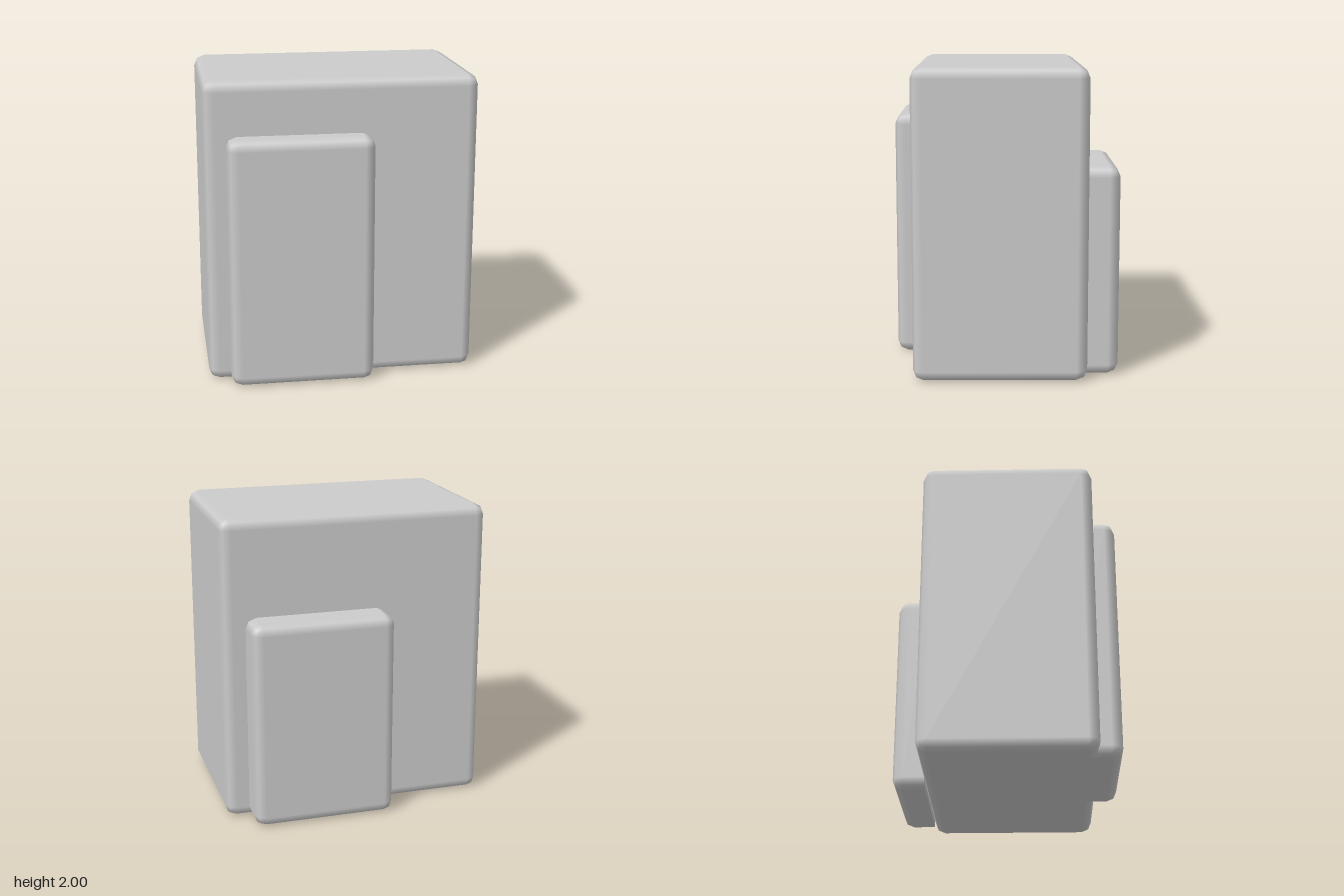
import * as THREE from 'three';
import { RoundedBoxGeometry } from 'three/addons/geometries/RoundedBoxGeometry.js';

const BEVEL = 0.07;

// Box with two-step bevelled edges, given by its lower and upper corners
function bevelledBox(name, [x0, y0, z0], [x1, y1, z1], material) {
  const geometry = new RoundedBoxGeometry(x1 - x0, y1 - y0, z1 - z0, 1, BEVEL);
  geometry.translate((x0 + x1) / 2, (y0 + y1) / 2, (z0 + z1) / 2);
  const mesh = new THREE.Mesh(geometry, material);
  mesh.name = name;
  return mesh;
}

export function createModel() {
  const group = new THREE.Group();
  group.name = 'steppedBlock';
  const material = new THREE.MeshStandardMaterial({ color: 0xcccccc });

  // Large central block
  group.add(bevelledBox('mainBlock', [-0.885, 0, -0.525], [0.885, 2, 0.59], material));

  // Tall slab sunk into the front face
  group.add(bevelledBox('frontSlab', [-0.745, 0, 0.3], [0.195, 1.65, 0.735], material));

  // Shorter slab on the back, cut flat where it meets the main block
  const cut = -0.525;
  const backSlab = bevelledBox('backSlab', [-0.205, 0, -0.735], [0.735, 1.365, cut + BEVEL], material);
  const position = backSlab.geometry.attributes.position;
  for (let i = 0; i < position.count; i++) {
    position.setZ(i, Math.min(position.getZ(i), cut));
  }
  group.add(backSlab);

  return group;
}
